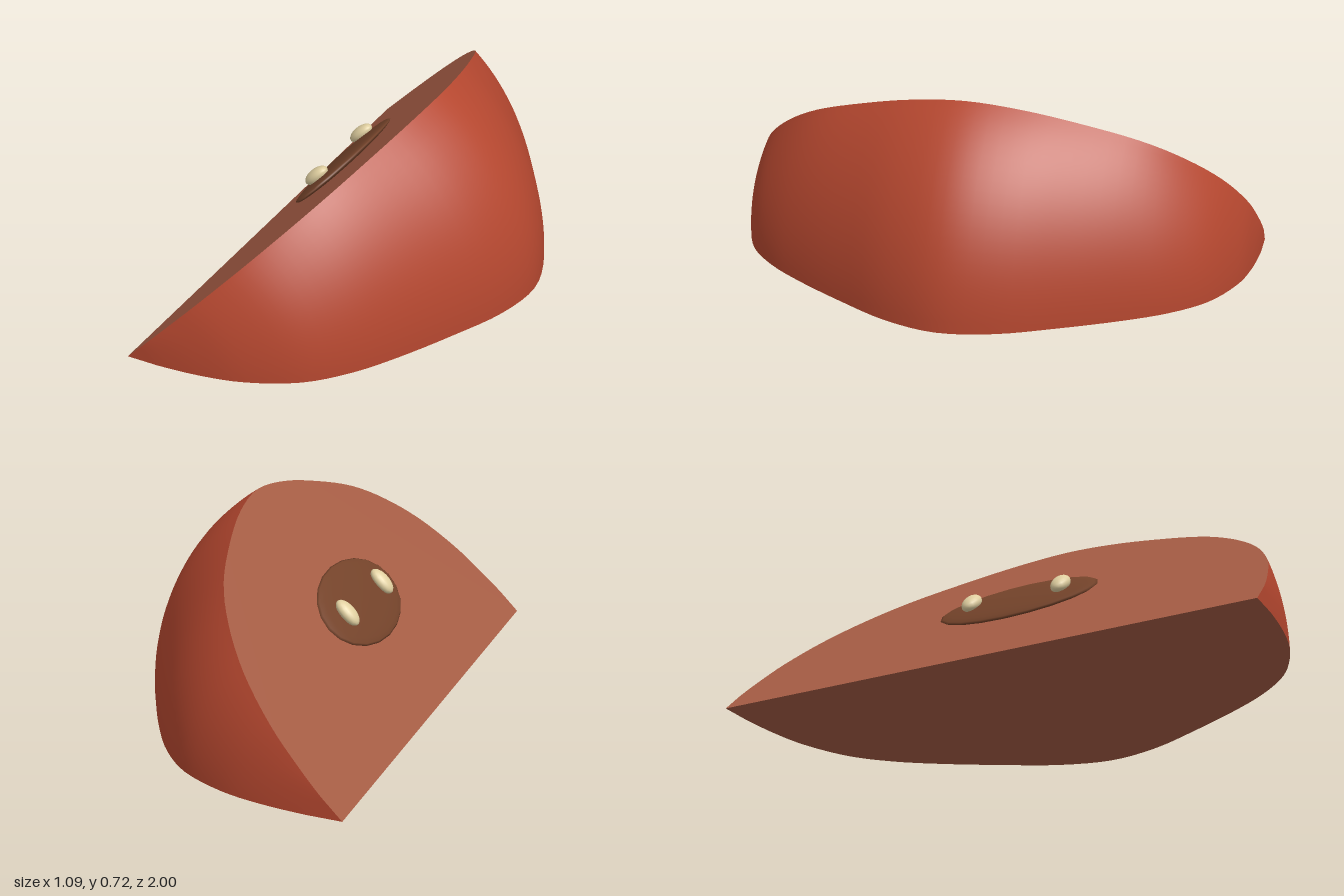
import * as THREE from 'three';

const EDGE_X = -0.547;      // the sharp edge of the wedge runs along z here
const ANGLE = Math.PI / 4;

// Half outlines: z, radius on the base, radius on the sloping cut
const OUTLINE = [
  [0, 1.094, 1.016], [0.2, 1.05, 0.985], [0.4, 0.95, 0.915], [0.6, 0.835, 0.82],
  [0.75, 0.73, 0.7], [0.87, 0.605, 0.55], [0.95, 0.44, 0.375], [0.985, 0.287, 0.22],
  [1, 0.12, 0.1], [1, 0, 0],
];
const NZ = 72, NA = 20;

// Smooth full outline at fraction t of the wedge angle
function outline(t) {
  const half = OUTLINE.map(([z, b, c]) => new THREE.Vector2(b + (c - b) * t * t, z));
  const mirrored = half.slice(1).reverse().map(p => new THREE.Vector2(p.x, -p.y));
  return new THREE.SplineCurve([...mirrored, ...half]).getPoints(NZ)
    .map(p => new THREE.Vector2(Math.max(p.x, 0), THREE.MathUtils.clamp(p.y, -1, 1)));
}

// Curved outer skin, swept through the wedge angle
function skinGeometry() {
  const pos = [], idx = [];
  for (let j = 0; j <= NA; j++) {
    const a = ANGLE * j / NA;
    for (const p of outline(j / NA)) pos.push(p.x * Math.cos(a), p.x * Math.sin(a), p.y);
  }
  const row = NZ + 1;
  for (let j = 0; j < NA; j++) {
    for (let i = 0; i < NZ; i++) {
      const a = j * row + i, b = a + row;
      idx.push(a, b, a + 1, b, b + 1, a + 1);
    }
  }
  const g = new THREE.BufferGeometry();
  g.setAttribute('position', new THREE.Float32BufferAttribute(pos, 3));
  g.setIndex(idx);
  g.computeVertexNormals();
  return g;
}

export function createModel() {
  const material = (name, color) => {
    const m = new THREE.MeshStandardMaterial({ color });
    m.name = name;
    return m;
  };
  const skinMat = material('red skin', 0xb5472f);
  const fleshMat = material('flesh', 0xa65d45);
  const coreMat = material('core brown', 0x74432a);
  const seedMat = material('seed cream', 0xe0cfa0);

  const model = new THREE.Group();
  model.name = 'fruitWedge';
  const add = (parent, name, geometry, mat) => {
    const mesh = new THREE.Mesh(geometry, mat);
    mesh.name = name;
    parent.add(mesh);
    return mesh;
  };

  // Skin and the flat underside
  const wedge = new THREE.Group();
  wedge.name = 'wedge';
  wedge.position.x = EDGE_X;
  model.add(wedge);
  add(wedge, 'skin', skinGeometry(), skinMat);
  add(wedge, 'baseCut', new THREE.ShapeGeometry(new THREE.Shape(outline(0))).rotateX(Math.PI / 2), fleshMat);

  // Sloping cut with the core and two seeds lying on it
  const slope = new THREE.Group();
  slope.name = 'slope';
  slope.rotation.z = ANGLE;
  wedge.add(slope);
  add(slope, 'slopingCut', new THREE.ShapeGeometry(new THREE.Shape(outline(1))).rotateX(-Math.PI / 2), fleshMat);

  const core = add(slope, 'core', new THREE.SphereGeometry(1, 20, 12), coreMat);
  core.scale.set(0.163, 0.02, 0.31);
  core.position.set(0.468, 0.017, 0);

  for (const side of [-1, 1]) {
    const seed = add(slope, side > 0 ? 'frontSeed' : 'backSeed', new THREE.SphereGeometry(1, 16, 12), seedMat);
    seed.scale.set(0.056, 0.026, 0.034);
    seed.position.set(0.468, 0.045, side * 0.177);
  }
  return model;
}
